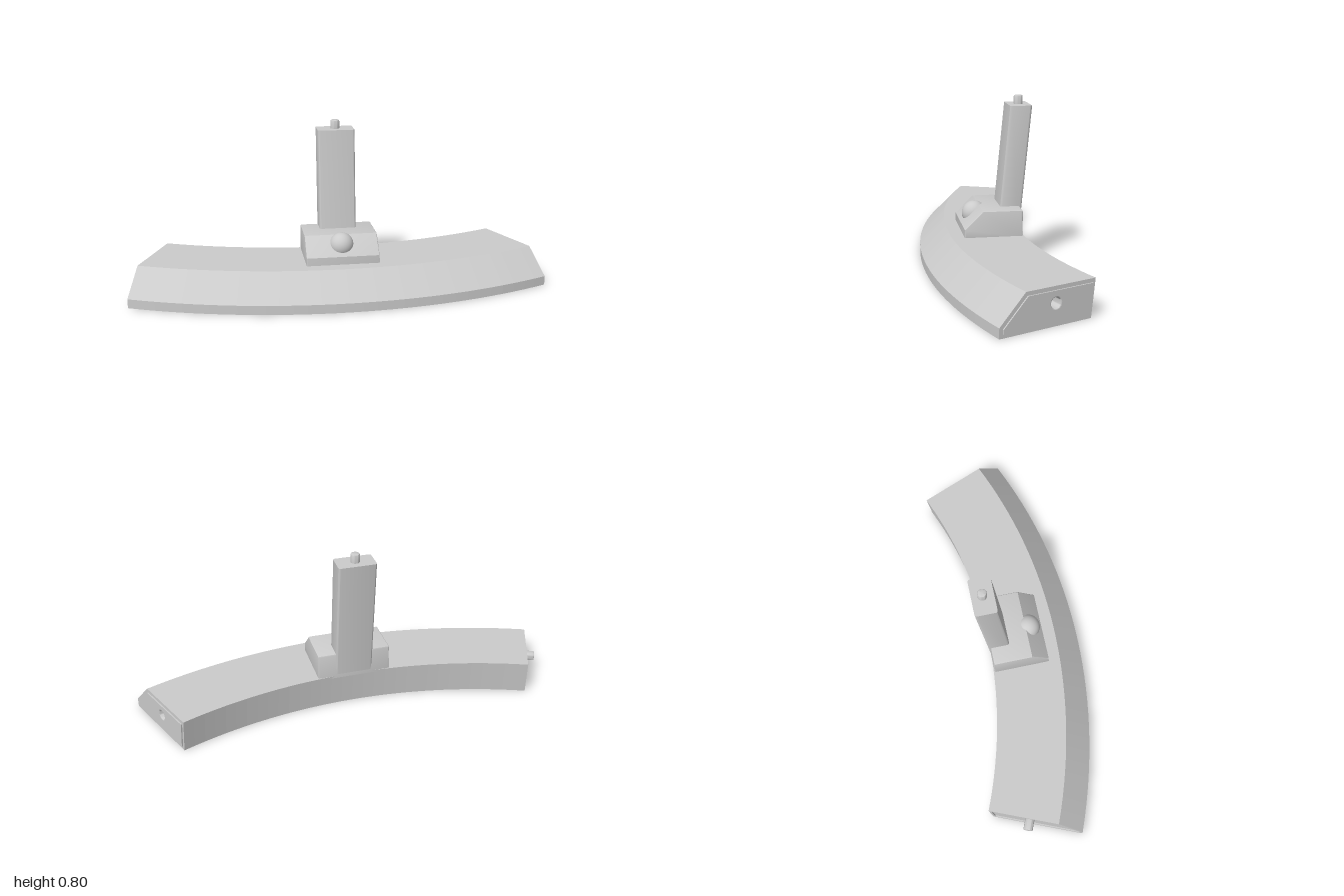
import * as THREE from 'three';
import { toCreasedNormals } from 'three/addons/utils/BufferGeometryUtils.js';

const CENTRE_Z = -2.29;                 // centre of the base's curve
const HALF = Math.asin(1 / 2.6);        // half the angle it spans
const STEP = 0.006;                     // relief of the end panels
// cross-section as [radius, height], and its inset for the end faces
const PROFILE = [[2.6, 0], [2.6, 0.044], [2.48, 0.165], [2.148, 0.165], [2.167, 0]];
const INSET = [[2.583, 0.017], [2.583, 0.037], [2.473, 0.148], [2.162, 0.148], [2.177, 0.017]];
const PIN = [2.343, 0.097];

const grey = new THREE.MeshStandardMaterial({ color: 0xcccccc });

function add(parent, name, geometry, x = 0, y = 0, z = 0) {
  const mesh = new THREE.Mesh(geometry, grey);
  mesh.name = name;
  mesh.position.set(x, y, z);
  parent.add(mesh);
  return mesh;
}

const polygon = (points, sign = 1) =>
  new THREE.Shape(points.map(([u, v]) => new THREE.Vector2(sign * u, v)));

const disc = (x, y, r) => new THREE.Shape().absarc(x, y, r, 0, Math.PI * 2, false);

const turned = (points) => toCreasedNormals(new THREE.LatheGeometry(
  points.map(([r, y]) => new THREE.Vector2(r, y)), 32), 0.7);

// round pocket with a softened lip, opening upwards at y = 0
const socket = (r, depth) => turned([
  [r, 0], [r - 0.003, -0.001], [r - 0.005, -0.005], [r - 0.005, -depth], [0, -depth]]);

const extrude = (shape, depth) =>
  new THREE.ExtrudeGeometry(shape, { depth, curveSegments: 8, bevelEnabled: false });

// group whose local z points out of one end of the base
function endFrame(parent, side, name) {
  const g = new THREE.Group();
  g.name = name;
  g.position.z = CENTRE_Z;
  g.rotation.y = side * (Math.PI / 2 + HALF);
  parent.add(g);
  return g;
}

export function createModel() {
  const model = new THREE.Group();
  model.name = 'curvedBaseWithPost';

  // curved base: faceted walls and top, leaving room for the rim at one end
  const rimAngle = 0.0023;
  const walls = new THREE.LatheGeometry(PROFILE.map(([r, y]) => new THREE.Vector2(r, y)),
    32, -HALF + rimAngle, 2 * HALF - rimAngle).toNonIndexed();
  walls.computeVertexNormals();
  add(model, 'baseBody', walls, 0, 0, CENTRE_Z);

  // underside with a socket below the post
  const a = Math.PI / 2 - HALF, b = Math.PI / 2 + HALF;
  const floor = new THREE.Shape();
  floor.absarc(0, CENTRE_Z, 2.6, a, b, false);
  floor.absarc(0, CENTRE_Z, 2.167, b, a, true);
  floor.holes.push(disc(0, -0.07, 0.028));
  add(model, 'baseUnderside', new THREE.ShapeGeometry(floor, 32).rotateX(Math.PI / 2));
  add(model, 'undersideSocket', socket(0.028, 0.06).rotateX(Math.PI), 0, 0, -0.07);

  // left end: raised panel with a socket
  const left = endFrame(model, 1, 'leftEnd');
  const leftFace = polygon(PROFILE, -1);
  const panel = polygon(INSET, -1);
  for (const shape of [leftFace, panel]) shape.holes.push(disc(-PIN[0], PIN[1], 0.028));
  add(left, 'leftEndFace', new THREE.ShapeGeometry(leftFace, 16));
  add(left, 'leftEndPanel', new THREE.ExtrudeGeometry(panel,
    { depth: STEP, curveSegments: 16, bevelEnabled: false }));
  add(left, 'leftEndSocket', socket(0.028, 0.066).rotateX(Math.PI / 2), -PIN[0], PIN[1], STEP);

  // right end: raised rim around a sunken panel with a pin
  const right = endFrame(model, -1, 'rightEnd');
  const rim = polygon(PROFILE);
  rim.holes.push(polygon(INSET));
  add(right, 'rightEndRim', extrude(rim, STEP), 0, 0, -STEP);
  add(right, 'rightEndPanel', new THREE.ShapeGeometry(polygon(INSET)), 0, 0, -STEP);
  const pin = turned([[0.022, 0], [0.022, 0.047], [0.02, 0.051], [0.016, 0.052], [0, 0.052]]);
  add(right, 'rightEndPin', pin.rotateX(Math.PI / 2), PIN[0], PIN[1], -STEP);

  // mounting block with sloped front: side profile as [z, y], extruded across x
  const bevel = 0.006, width = 0.346;
  const profile = polygon([[0.127, 0.155], [0.127, 0.203], [0.043, 0.287], [-0.136, 0.287],
    [-0.142, 0.285], [-0.144, 0.279], [-0.144, 0.155]], -1);
  const block = new THREE.ExtrudeGeometry(profile, {
    depth: width - 2 * bevel, bevelSize: bevel, bevelThickness: bevel,
    bevelOffset: -bevel, bevelSegments: 3,
  }).translate(0, 0, bevel - width / 2).rotateY(Math.PI / 2);
  add(model, 'mountingBlock', toCreasedNormals(block, 0.5));

  // round button on the slope
  add(model, 'button', new THREE.SphereGeometry(0.058, 32, 24), 0, 0.242, 0.06);

  // leaning post: rounded rectangle, raised and sheared backwards
  const w = 0.088, d = 0.0515, r = 0.01;
  const plan = new THREE.Shape();
  [[1, 1], [-1, 1], [-1, -1], [1, -1]].forEach(([sx, sy], i) =>
    plan.absarc(sx * (w - r), sy * (d - r), r, i * Math.PI / 2, (i + 1) * Math.PI / 2, false));
  const post = extrude(plan, 0.595).rotateX(-Math.PI / 2)
    .applyMatrix4(new THREE.Matrix4().makeShear(0, 0, 0, -0.098, 0, 0));
  add(model, 'post', toCreasedNormals(post, 0.5), 0, 0.164, -0.0915);

  // peg on top of the post
  const peg = turned([[0.021, 0], [0.021, 0.036], [0.0195, 0.04], [0.016, 0.042], [0, 0.042]]);
  add(model, 'topPeg', peg, 0, 0.758, -0.151);

  return model;
}
